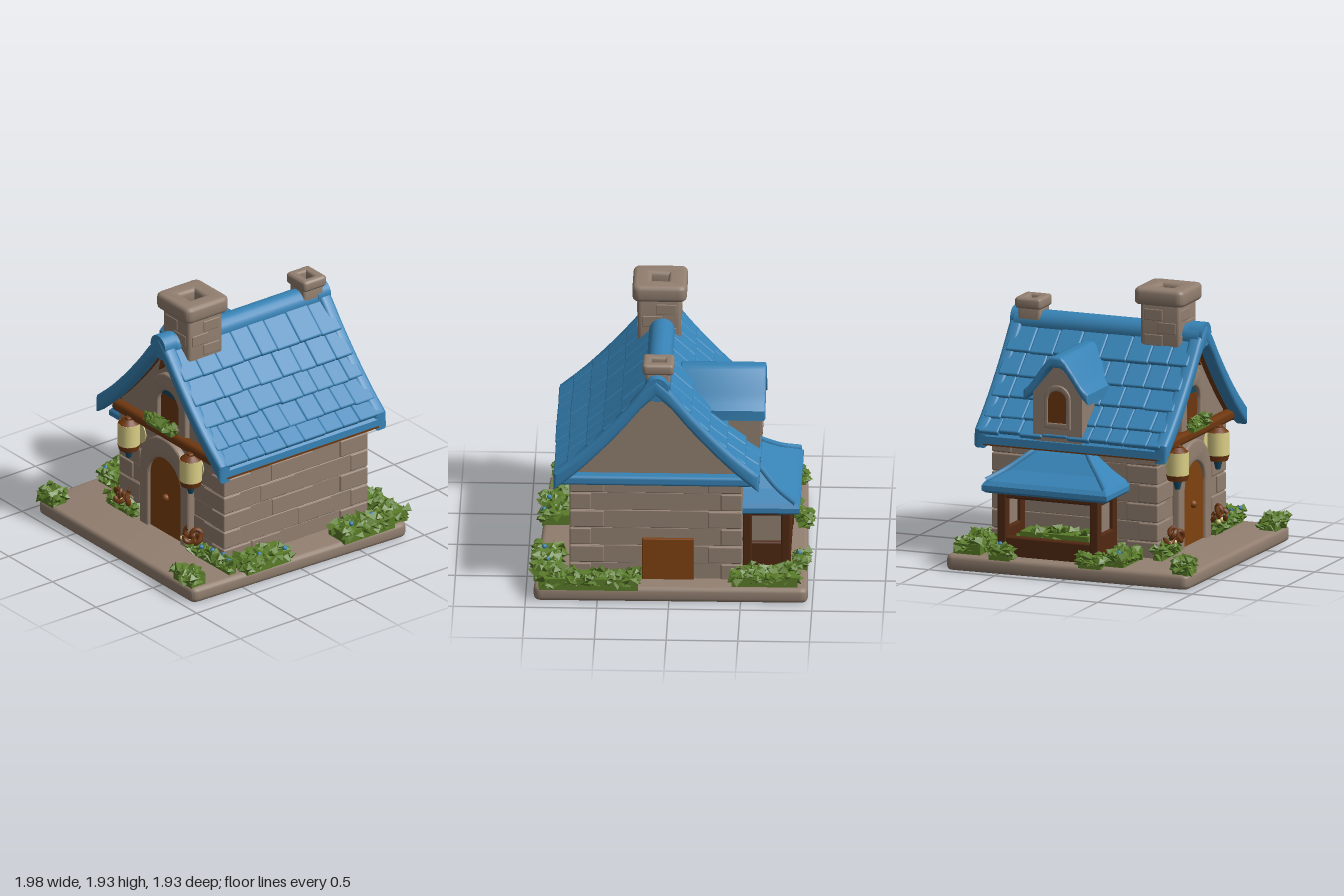
import * as THREE from 'three';
import { mergeGeometries, toCreasedNormals } from 'three/addons/utils/BufferGeometryUtils.js';
import { RoundedBoxGeometry } from 'three/addons/geometries/RoundedBoxGeometry.js';

export function createModel() {
  const root = new THREE.Group();
  const mat = (name, color) => Object.assign(new THREE.MeshStandardMaterial({ color }), { name });
  const stone = mat('stone', 0x927f70), blue = mat('roof blue', 0x3783b6), green = mat('leaf green', 0x5a7c29);
  const brown = mat('wood brown', 0x6e3710), dark = mat('dark wood', 0x512912), door = mat('door wood', 0x7f4210);
  const cream = mat('lantern cream', 0xdccf86), teal = mat('dark teal', 0x174860);
  let seed = 7;
  const rnd = (a = 0, b = 1) => { seed = (seed * 16807) % 2147483647; return a + (b - a) * seed / 2147483647; };

  const add = (name, geo, m, x = 0, y = 0, z = 0, parent = root) => {
    const mesh = new THREE.Mesh(geo, m);
    mesh.name = name;
    mesh.position.set(x, y, z);
    parent.add(mesh);
    return mesh;
  };
  const rbox = (w, h, d, r = 0.015) => new RoundedBoxGeometry(w, h, d, 2, Math.min(r, w / 2.1, h / 2.1, d / 2.1));
  // box given by its limits
  const block = (name, m, x0, x1, y0, y1, z0, z1, r) =>
    add(name, rbox(x1 - x0, y1 - y0, z1 - z0, r), m, (x0 + x1) / 2, (y0 + y1) / 2, (z0 + z1) / 2);
  const extrude = (shape, depth, bevel = 0) => toCreasedNormals(new THREE.ExtrudeGeometry(shape, {
    depth: depth - 2 * bevel, bevelEnabled: bevel > 0, bevelThickness: bevel, bevelSize: bevel,
    bevelOffset: -bevel, bevelSegments: 3, curveSegments: 14 }).translate(0, 0, bevel), 0.6);
  const arch = (w, y0, top, S = THREE.Shape) => {
    const s = new S();
    s.moveTo(-w, y0); s.lineTo(w, y0); s.lineTo(w, top - w);
    s.absarc(0, top - w, w, 0, Math.PI, false);
    s.lineTo(-w, y0);
    return s;
  };
  const archRing = (w, y0, top, w2, y2, top2) => {
    const s = arch(w, y0, top);
    s.holes.push(arch(w2, y2, top2, THREE.Path));
    return s;
  };
  const fromXY = (pts) => new THREE.Shape(pts.map(([x, y]) => new THREE.Vector2(x, y)));
  // polygon with rounded corners
  const rounded = (pts, r) => {
    const s = new THREE.Shape(), v = pts.map(p => new THREE.Vector2(...p));
    v.forEach((p, i) => {
      const toward = (q) => p.clone().add(q.clone().sub(p).setLength(r));
      const a = toward(v[(i + v.length - 1) % v.length]), b = toward(v[(i + 1) % v.length]);
      if (i) s.lineTo(a.x, a.y); else s.moveTo(a.x, a.y);
      s.quadraticCurveTo(p.x, p.y, b.x, b.y);
    });
    return s;
  };
  // symmetric curved roof layer between two vertical offsets of a profile
  const band = (pts, up, down) => {
    const right = new THREE.SplineCurve(pts.map(p => new THREE.Vector2(...p))).getPoints(14).map(p => [p.x, p.y]);
    const full = [...right.slice(1).reverse().map(([x, y]) => [-x, y]), ...right];
    return fromXY([...full.map(([x, y]) => [x, y + up]), ...full.reverse().map(([x, y]) => [x, y + down])].reverse());
  };

  // base slab, slightly narrower at the front
  add('baseSlab', extrude(rounded([[-0.92, -0.93], [0.88, -0.94], [0.945, 0.9], [-0.97, 0.89]], 0.06), 0.11, 0.03).rotateX(-Math.PI / 2), stone);

  // coursed walls
  const CX = 0.095, RX = 0.09;
  for (let i = 0; i < 6; i++) {
    const y = 0.09 + i * 0.135, j = (i % 2) * 0.004;
    block('wallCourse', stone, -0.495 - j, 0.685 + j, y, y + 0.137, -0.725 - j, 0.515 + j, 0.007);
    // corner stones and scattered raised blocks
    for (const sx of [-1, 1]) for (const z of [-0.725, 0.515]) {
      const w = i % 2 ? 0.24 : 0.15, d = i % 2 ? 0.15 : 0.24;
      add('cornerStone', rbox(w, 0.127, d, 0.01), stone,
        CX + sx * (0.602 - w / 2), y + 0.068, z - Math.sign(z) * (d / 2 - 0.012));
    }
    add('wallBlock', rbox(0.014, 0.125, rnd(0.25, 0.4), 0.006), stone, 0.686, y + 0.068, rnd(-0.4, 0.2));
  }

  // main roof
  const prof = [[0, 1.63], [0.1, 1.54], [0.22, 1.39], [0.38, 1.21], [0.55, 1.04], [0.715, 0.9]];
  const yAt = (d) => {
    let i = 0;
    while (i < 4 && prof[i + 1][0] < d) i++;
    const [a, b] = [prof[i], prof[i + 1]];
    return a[1] + (b[1] - a[1]) * (d - a[0]) / (b[0] - a[0]);
  };
  add('roofDeck', extrude(band(prof, 0, -0.055), 1.4), blue, RX, 0, -0.78);
  add('roofUnderside', extrude(band(prof, -0.05, -0.065), 1.34), brown, RX, 0, -0.75);
  for (const z of [-0.82, 0.545]) add('gableTrim', extrude(band(prof, 0.045, -0.085), 0.1, 0.025), blue, RX, 0, z);
  const gable = [[-0.59, 0.86], [0.59, 0.86]];
  for (const d of [0.59, 0.38, 0.22, 0.1, 0, -0.1, -0.22, -0.38, -0.59]) gable.push([d, yAt(Math.abs(d)) - 0.06]);
  add('gableWall', extrude(fromXY(gable), 1.235), stone, RX, 0, -0.725);

  // shingle rows
  const rows = [0.05, 0.22, 0.35, 0.47, 0.6, 0.7];
  const shingles = new THREE.Group();
  shingles.name = 'shingles';
  root.add(shingles);
  for (const s of [-1, 1]) for (let r = 0; r < 5; r++) {
    const d0 = rows[r], d1 = rows[r + 1], y0 = yAt(d0), y1 = yAt(d1);
    const angle = Math.atan2(y0 - y1, d1 - d0) - 0.11;
    for (let z = -0.785; z < 0.55;) {
      let w = rnd(0.12, 0.2);
      if (z + w > 0.5) w = 0.595 - z;
      const t = add('shingle', rbox(Math.hypot(d1 - d0, y1 - y0) + rnd(0.01, 0.03), 0.04, w + 0.004, 0.014), blue,
        RX + s * (d0 + d1) / 2, (y0 + y1) / 2 + rnd(0.01, 0.017), z + w / 2, shingles);
      t.rotation.z = -s * angle;
      z += w;
    }
  }
  add('ridgeCap', new THREE.CylinderGeometry(0.09, 0.09, 1.4, 20).rotateX(Math.PI / 2), blue, 0.08, 1.585, -0.085);
  for (const z of [-0.76, 0.585]) add('ridgeEnd', new THREE.CylinderGeometry(0.085, 0.085, 0.11, 20).rotateX(Math.PI / 2), blue, 0.087, 1.605, z);
  block('backTrim', blue, -0.58, 0.77, 0.85, 0.92, -0.8, -0.71, 0.02);

  // chimneys with open flues
  const flue = (w, d, r, hw, hd, h, b) => {
    const s = rounded([[-w, -d], [w, -d], [w, d], [-w, d]], r);
    s.holes.push(new THREE.Path([[-hw, -hd], [-hw, hd], [hw, hd], [hw, -hd]].map(p => new THREE.Vector2(...p))));
    return extrude(s, h, b).rotateX(-Math.PI / 2);
  };
  add('largeChimney', flue(0.15, 0.15, 0.025, 0.07, 0.07, 0.45, 0.01), stone, 0.1, 1.38, 0.345);
  add('largeChimneyCap', flue(0.19, 0.19, 0.06, 0.058, 0.062, 0.12, 0.03), stone, 0.097, 1.81, 0.345);
  for (let i = 0; i < 3; i++) for (const s of [-1, 1]) {
    add('chimneyBrick', rbox(0.014, 0.08, 0.14, 0.006), stone, 0.1 + s * 0.148, 1.56 + i * 0.09, 0.345 + (i % 2 ? 0.05 : -0.05));
    add('chimneyBrick', rbox(0.14, 0.08, 0.014, 0.006), stone, 0.1 + (i % 2 ? 0.05 : -0.05), 1.56 + i * 0.09, 0.345 + s * 0.148);
  }
  add('flueFloor', new THREE.BoxGeometry(0.16, 0.008, 0.16), brown, 0.1, 1.74, 0.345);
  add('smallChimney', flue(0.085, 0.085, 0.02, 0.055, 0.04, 0.2, 0.008), stone, 0.08, 1.51, -0.67);
  add('smallChimneyCap', flue(0.11, 0.1, 0.03, 0.048, 0.033, 0.08, 0.02), stone, 0.078, 1.69, -0.67);
  add('smallFlueFloor', new THREE.BoxGeometry(0.12, 0.008, 0.09), teal, 0.08, 1.69, -0.67);

  // front door, arch and gable details
  add('doorSurround', extrude(archRing(0.28, 0.04, 0.85, 0.183, 0.09, 0.695), 0.09, 0.015), stone, 0.06, 0, 0.48);
  add('frontDoor', extrude(arch(0.205, 0.1, 0.72), 0.03), door, 0.06, 0, 0.515);
  add('doorKnob', new THREE.SphereGeometry(0.028, 14, 10), door, 0.06, 0.39, 0.55);
  add('frontBeam', rbox(1.24, 0.08, 0.08, 0.03), brown, 0.1, 0.9, 0.55);
  add('windowSurround', extrude(archRing(0.2, 0.9, 1.35, 0.118, 0.96, 1.225), 0.05, 0.012), stone, 0.08, 0, 0.5);
  add('gableWindow', extrude(arch(0.13, 0.95, 1.235), 0.012), brown, 0.08, 0, 0.508);
  const pane = new THREE.Shape();
  pane.absarc(0, 1.105, 0.125, 0.55, Math.PI - 0.55, false);
  add('windowPane', extrude(pane, 0.006), teal, 0.08, 0, 0.518);
  add('gablePeak', extrude(fromXY([[-0.12, 1.35], [-0.05, 1.42], [0, 1.45], [0.05, 1.42], [0.12, 1.35], [0.08, 1.5], [0, 1.57], [-0.08, 1.5]]), 0.04), brown, RX, 0, 0.505);
  block('backDoor', door, -0.17, 0.19, 0.1, 0.42, -0.748, -0.72, 0.006);

  // lanterns
  for (const x of [-0.31, 0.4]) {
    const g = new THREE.Group();
    g.name = 'lantern';
    g.position.set(x, 0, 0.592);
    root.add(g);
    const cyl = (name, a, b, h, m, y) => add(name, new THREE.CylinderGeometry(a, b, h, 16), m, 0, y, 0, g);
    cyl('lanternGlass', 0.079, 0.079, 0.165, cream, 0.76);
    cyl('lanternBottom', 0.081, 0.07, 0.04, brown, 0.66);
    cyl('lanternTop', 0.04, 0.079, 0.035, brown, 0.858);
    cyl('lanternTip', 0.035, 0.018, 0.07, teal, 0.61);
    add('lanternBracket', rbox(0.05, 0.03, 0.12, 0.01), brown, 0, 0.875, -0.03, g);
    add('lanternGlow', new THREE.CylinderGeometry(0.085, 0.085, 0.008, 18).rotateX(Math.PI / 2), cream,
      x < 0 ? 0.03 : -0.02, 0.765, -0.062, g);
  }

  // dormer facing left
  const dormer = new THREE.Group();
  dormer.name = 'dormer';
  dormer.rotation.y = -Math.PI / 2;
  dormer.position.set(-0.06, 0, -0.185);
  root.add(dormer);
  const dProf = [[0, 1.515], [0.05, 1.505], [0.12, 1.42], [0.19, 1.32], [0.245, 1.265]];
  add('dormerRoof', extrude(band(dProf, 0, -0.075), 0.6, 0.015), blue, 0, 0, 0, dormer);
  add('dormerWall', extrude(fromXY([[-0.185, 0.9], [0.185, 0.9], [0.185, 1.25], [0, 1.47], [-0.185, 1.25]]), 0.56), stone, 0, 0, 0, dormer);
  add('dormerWindowSurround', extrude(archRing(0.1, 1.0, 1.31, 0.07, 1.04, 1.27), 0.02, 0.005), stone, 0, 0, 0.555, dormer);
  add('dormerWindow', extrude(arch(0.072, 1.04, 1.27), 0.008), brown, 0, 0, 0.556, dormer);

  // bay window: frame, panes and hipped roof
  const bx = [-0.84, -0.5], bz = [-0.55, 0.22];
  for (const z of [bz[0], bz[1] - 0.07]) {
    for (const x of [bx[0], bx[1] - 0.07]) block('bayPost', dark, x, x + 0.07, 0.1, 0.6, z, z + 0.07);
    block('baySill', dark, bx[0] + 0.02, bx[1], 0.1, 0.31, z + 0.005, z + 0.065);
    block('bayLintel', dark, bx[0] + 0.02, bx[1], 0.51, 0.6, z + 0.005, z + 0.065);
    block('bayPane', stone, bx[0] + 0.05, bx[1] - 0.03, 0.29, 0.53, z + 0.031, z + 0.039, 0.003);
  }
  for (const [y0, y1] of [[0.1, 0.25], [0.52, 0.6]]) block('baySideRail', dark, bx[0] + 0.005, bx[0] + 0.065, y0, y1, bz[0] + 0.02, bz[1] - 0.02);
  const rings = [[-0.88, 0.45, 0.56], [-0.905, 0.475, 0.58], [-0.905, 0.475, 0.615], [-0.88, 0.455, 0.645], [-0.75, 0.35, 0.71], [-0.62, 0.22, 0.815], [-0.53, 0.15, 0.88]]
    .map(([x, h, y]) => [[x, y, -0.165 - h], [x, y, -0.165 + h], [-0.46, y, -0.165 + h], [-0.46, y, -0.165 - h]]);
  const tri = [];
  const quad = (a, b, c, d) => tri.push(...a, ...b, ...c, ...a, ...c, ...d);
  for (let i = 0; i < rings.length - 1; i++) for (let k = 0; k < 4; k++) {
    const n = (k + 1) % 4;
    quad(rings[i][k], rings[i][n], rings[i + 1][n], rings[i + 1][k]);
  }
  quad(...rings[rings.length - 1]);
  quad(...[...rings[0]].reverse());
  const hip = new THREE.BufferGeometry();
  hip.setAttribute('position', new THREE.Float32BufferAttribute(tri, 3));
  hip.computeVertexNormals();
  add('bayRoof', hip, blue);
  for (const k of [0, 1]) add('bayHip', new THREE.TubeGeometry(new THREE.CatmullRomCurve3(
    rings.slice(3).map(r => new THREE.Vector3(...r[k]))), 12, 0.022, 8), blue);

  // leafy hedges: a solid core with pointed leaves scattered over it
  const hedge = (name, x0, x1, z0, z1, y0 = 0.1, y1 = 0.215) => {
    const w = x1 - x0, d = z1 - z0, n = Math.ceil(w * d * 900) + 16;
    const parts = [new THREE.BoxGeometry(w - 0.07, y1 - y0 - 0.03, d - 0.07).toNonIndexed()
      .translate((x0 + x1) / 2, (y0 + y1) / 2 - 0.015, (z0 + z1) / 2)];
    for (let i = 0; i < n; i++) {
      const leaf = i % 2 ? new THREE.OctahedronGeometry(rnd(0.03, 0.045)) : new THREE.TetrahedronGeometry(rnd(0.04, 0.055));
      leaf.scale(1, rnd(0.5, 0.9), 1).rotateX(rnd(-0.5, 0.5)).rotateY(rnd(0, 6));
      parts.push(leaf.translate(rnd(x0 + 0.03, x1 - 0.03), rnd(y0 + 0.03, y1 - 0.012), rnd(z0 + 0.03, z1 - 0.03)));
    }
    add(name, mergeGeometries(parts), green);
  };
  for (const [x0, x1, z0, z1] of [
    [-0.94, -0.71, 0.77, 0.96], [0.6, 0.88, 0.77, 0.96], [0.32, 0.88, 0.5, 0.63], [0.69, 0.95, 0.07, 0.52],
    [0.18, 0.94, -0.96, -0.73], [0.72, 0.98, -0.82, -0.31], [-0.93, -0.4, -0.89, -0.62], [-0.99, -0.84, -0.6, -0.37],
    [-0.99, -0.84, 0.08, 0.32], [-0.91, -0.5, 0.23, 0.46], [-0.6, -0.24, 0.48, 0.62]]) hedge('hedge', x0, x1, z0, z1);
  hedge('windowBoxPlants', -0.11, 0.23, 0.54, 0.65, 0.93, 1.02);
  hedge('bayPlants', -0.76, -0.5, -0.46, 0.13, 0.1, 0.3);

  // twisted twigs and small blooms by the door
  for (const x of [-0.37, 0.42]) {
    for (let i = 0; i < 5; i++) {
      const t = add('twig', new THREE.TorusGeometry(0.034, 0.017, 6, 12, 4.5), brown, x + (i - 2) * 0.03, 0.245 + (i % 2) * 0.025, 0.6 + (i % 3 - 1) * 0.02);
      t.rotation.set(rnd(-0.9, 0.9), rnd(-0.9, 0.9), rnd(0, 6));
    }
    for (let i = 0; i < 4; i++) add('creamBloom', new THREE.IcosahedronGeometry(0.017, 1), cream, x + rnd(-0.08, 0.1), 0.212, rnd(0.57, 0.63));
  }
  for (const [x, z] of [[0.53, 0.6], [0.62, 0.57], [0.72, 0.55], [0.82, 0.58], [0.87, 0.35], [0.9, 0.15], [0.88, -0.45], [0.85, -0.65], [-0.85, 0.38], [-0.9, -0.5]])
    add('blueBloom', new THREE.IcosahedronGeometry(0.017, 1), blue, x, 0.21, z);
  return root;
}
